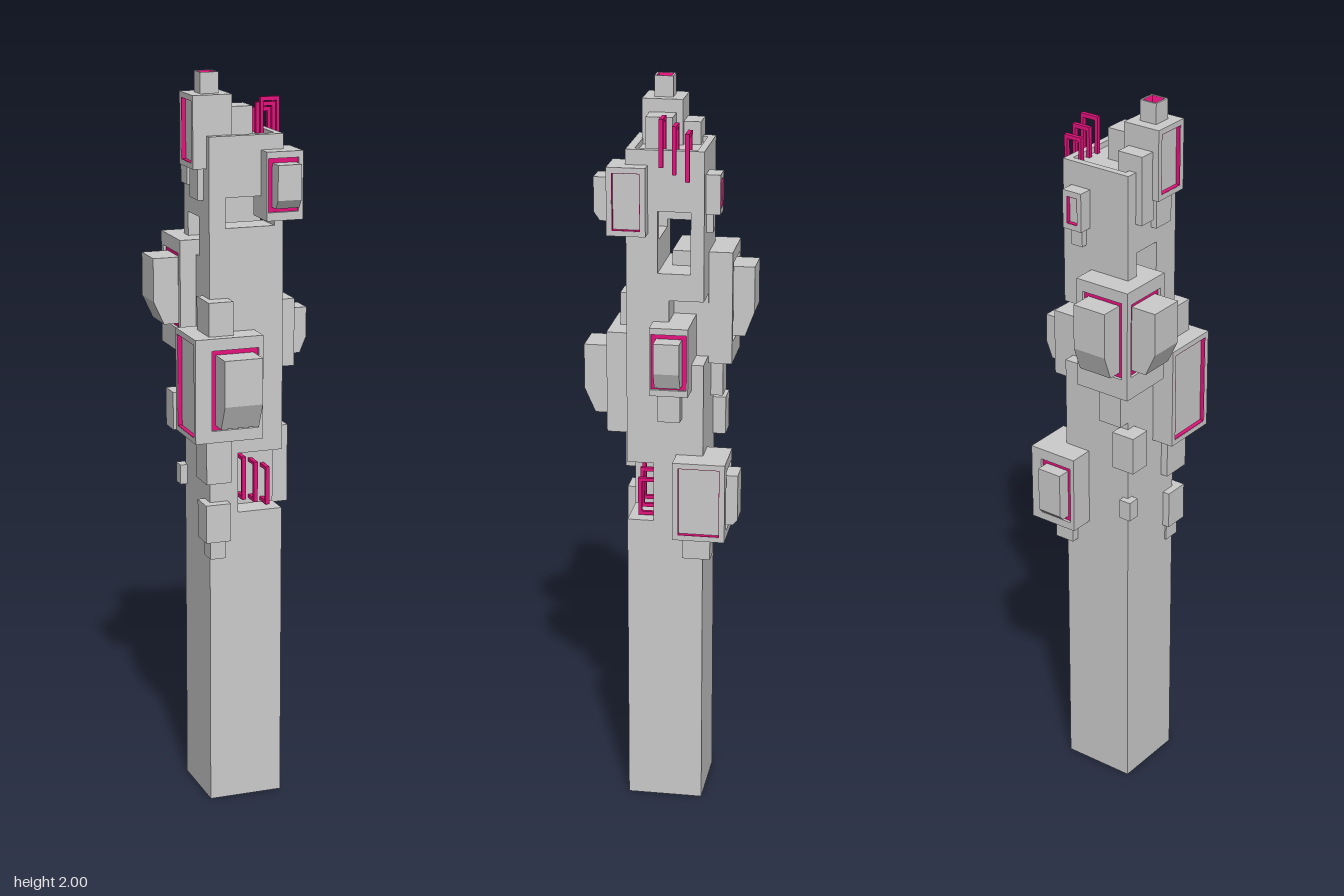
import * as THREE from 'three';

const grey = new THREE.MeshStandardMaterial({ color: 0xcccccc, flatShading: true });
const pink = new THREE.MeshStandardMaterial({ color: 0xe6127d, flatShading: true, side: THREE.DoubleSide });
const DEPTH = 0.012; // recess depth of every panel
const FACES = {
  front: { turn: 0, sign: 1, axis: 0 },
  back: { turn: Math.PI, sign: -1, axis: 0 },
  left: { turn: Math.PI / 2, sign: -1, axis: 4 },
  right: { turn: -Math.PI / 2, sign: 1, axis: 4 },
};

function mesh(parent, name, geometry, material = grey) {
  const m = new THREE.Mesh(geometry, material);
  m.name = name;
  parent.add(m);
  return m;
}

// axis-aligned box from its limits
function box(parent, name, [x0, x1, y0, y1, z0, z1], material) {
  const m = mesh(parent, name, new THREE.BoxGeometry(x1 - x0, y1 - y0, z1 - z0), material);
  m.position.set((x0 + x1) / 2, (y0 + y1) / 2, (z0 + z1) / 2);
  return m;
}

// rectangular ring, extruded along +z
function ring([a0, a1, b0, b1], [c0, c1, d0, d1], depth) {
  const path = (T, l, r, b, t) =>
    new T().moveTo(l, b).lineTo(r, b).lineTo(r, t).lineTo(l, t).lineTo(l, b);
  const shape = path(THREE.Shape, a0, a1, b0, b1);
  shape.holes.push(path(THREE.Path, c0, c1, d0, d1));
  return new THREE.ExtrudeGeometry(shape, { depth, bevelEnabled: false });
}

const grow = ([a, b, c, d], m) => [a - m, b + m, c - m, d + m];

// bay unit whose listed faces carry a recessed panel, optionally with a jutting box
function bay(parent, name, b, panels) {
  const group = new THREE.Group();
  group.name = name;
  parent.add(group);
  const core = [...b];
  const limit = { front: 5, back: 4, left: 1, right: 0 };
  for (const face in panels) {
    const { turn, sign, axis } = FACES[face];
    const { rect, out = 0, slope = 0.35 } = panels[face];
    const i = limit[face];
    core[i] += i % 2 ? -DEPTH : DEPTH;
    const local = (a0, a1, y0, y1) => (sign > 0 ? [a0, a1, y0, y1] : [-a1, -a0, y0, y1]);
    const outer = local(b[axis], b[axis + 1], b[2], b[3]);
    const inner = rect ? local(...rect) : grow(outer, -0.014);
    const hole = out ? grow(inner, 0.013) : inner;
    const panel = new THREE.Group();
    panel.name = face + 'Panel';
    panel.rotation.y = turn;
    panel.position.setComponent(axis ? 0 : 2, b[i]);
    group.add(panel);
    mesh(panel, 'rim', ring(outer, hole, DEPTH)).position.z = -DEPTH;
    const lining = ring(hole, out ? inner : grow(hole, -0.0015), out ? 0.004 : DEPTH - 0.0005);
    mesh(panel, 'colouredLining', lining, pink).position.z = -DEPTH;
    if (out) {
      // side profile with a sloped lower edge, extruded across the width
      const [u0, u1, v0, v1] = inner;
      const p = new THREE.Shape();
      p.moveTo(DEPTH, v0).lineTo(-out * 0.55, v0).lineTo(-out, v0 + (v1 - v0) * slope);
      p.lineTo(-out, v1).lineTo(DEPTH, v1);
      const jut = new THREE.ExtrudeGeometry(p, { depth: u1 - u0, bevelEnabled: false });
      const m = mesh(panel, 'juttingBox', jut);
      m.rotation.y = Math.PI / 2;
      m.position.x = u0;
    }
  }
  box(group, 'body', core);
  return group;
}

export function createModel() {
  const model = new THREE.Group();
  model.name = 'tower';
  const X0 = -0.1, X1 = 0.105, Z0 = -0.112, Z1 = 0.093;

  // square column, in layers that leave the notches and the through opening free
  const column = new THREE.Group();
  column.name = 'column';
  model.add(column);
  const layers = [
    [0, 0.825, [X0, X1, Z0, Z1]],
    [0.825, 0.99, [X0, X1, Z0, 0.022], [X0, -0.02, 0.022, Z1]],
    [0.99, 1.27, [X0, X1, Z0, Z1]],
    [1.27, 1.443, [X0, X1, -0.02, Z1], [X0, 0.02, Z0, -0.02]],
    [1.443, 1.515, [X0, X1, Z0, Z1]],
    [1.515, 1.6, [X0, X1, Z0, -0.077], [X0, X1, 0.01, Z1]],
    [1.6, 1.62, [X0, X1, Z0, -0.077], [X0, -0.055, 0.01, Z1], [0.08, X1, 0.01, Z1]],
    [1.62, 1.68, [X0, X1, Z0, -0.077], [X0, -0.055, -0.077, Z1], [0.08, X1, 0.01, Z1]],
    [1.68, 1.825, [X0, X1, Z0, Z1]],
  ];
  for (const [y0, y1, ...parts] of layers)
    for (const [x0, x1, z0, z1] of parts) box(column, 'columnLayer', [x0, x1, y0, y1, z0, z1]);
  const parapet = mesh(column, 'parapet', ring([X0, X1, -Z1, -Z0], [-0.079, 0.087, -0.071, 0.093], 0.015));
  parapet.rotation.x = -Math.PI / 2;
  parapet.position.y = 1.825;

  // bays
  bay(model, 'upperFrontBay', [0.043, 0.143, 1.62, 1.8, 0.035, 0.137], {
    front: { rect: [0.06, 0.125, 1.655, 1.77], out: 0.036, slope: 0.2 }, left: {},
  });
  bay(model, 'largeFrontBay', [-0.163, 0.025, 1.045, 1.325, 0, 0.162], {
    front: { rect: [-0.105, 0, 1.09, 1.28], out: 0.066 }, right: {},
  });
  bay(model, 'sideBay', [0.02, 0.166, 1.2, 1.385, -0.08, 0.022], {
    left: { rect: [-0.063, 0.005, 1.23, 1.355], out: 0.041 },
  });
  bay(model, 'lowerBackBay', [0.03, 0.172, 0.8, 1.018, -0.18, -0.04], {
    back: { rect: [0.055, 0.127, 0.835, 0.975], out: 0.029, slope: 0.1 }, left: {},
  });
  bay(model, 'largeBackBay', [-0.144, 0.017, 1.25, 1.555, -0.175, -0.015], {
    back: { rect: [-0.113, -0.015, 1.32, 1.51], out: 0.055 },
    right: { rect: [-0.145, -0.045, 1.325, 1.505], out: 0.065 },
  });
  bay(model, 'upperBackBay', [0.02, 0.078, 1.67, 1.775, -0.15, -0.1], {
    back: { rect: [0.032, 0.066, 1.685, 1.76] },
  });
  bay(model, 'roofBay', [-0.137, -0.03, 1.755, 1.945, -0.035, 0.073], { right: {} });

  // plain boxes stepped above and below the bays
  const steps = {
    frontBayTop: [-0.117, -0.049, 1.32, 1.415, 0.04, 0.137],
    frontBayFoot: [-0.12, -0.05, 0.92, 1.05, 0.04, 0.125],
    lowerFrontBox: [-0.12, -0.05, 0.755, 0.86, 0.05, 0.12],
    lowerFrontFoot: [-0.105, -0.062, 0.705, 0.76, 0.06, 0.11],
    sideBayFoot: [0.08, 0.14, 1.12, 1.205, -0.055, 0.005],
    lowerBackFoot: [0.07, 0.127, 0.73, 0.805, -0.135, -0.06],
    largeBackFoot: [-0.1, -0.03, 1.145, 1.255, -0.145, -0.06],
    backCornerBox: [-0.143, -0.075, 1.02, 1.125, -0.147, -0.085],
    backCornerFoot: [-0.12, -0.085, 0.86, 0.915, -0.13, -0.095],
    upperBackFoot: [0.032, 0.066, 1.62, 1.675, -0.13, -0.1],
    roofBayFoot: [-0.117, -0.06, 1.67, 1.76, -0.015, 0.05],
    roofSideBox: [-0.035, 0.033, 1.8, 1.91, -0.018, 0.053],
    roofBackBox: [-0.119, -0.045, 1.7, 1.885, -0.08, -0.03],
  };
  for (const name in steps) box(model, name, steps[name]);

  // chimney with a coloured funnel
  const chimney = new THREE.Group();
  chimney.name = 'chimney';
  chimney.position.set(-0.082, 0, 0.02);
  model.add(chimney);
  const h = 0.025, o = 0.02;
  box(chimney, 'base', [-h, h, 1.94, 1.97, -h, h]);
  const wall = mesh(chimney, 'wall', ring([-h, h, -h, h], [-o, o, -o, o], 0.03));
  wall.rotation.x = -Math.PI / 2;
  wall.position.y = 1.97;
  const funnel = new THREE.CylinderGeometry(o * Math.SQRT2, 0.01 * Math.SQRT2, 0.029, 4, 1, true);
  const f = mesh(chimney, 'funnel', funnel.rotateY(Math.PI / 4), pink);
  f.position.y = 1.9848;

  // bent rails: over the roof edge, and in the lower front notch
  const t = 0.0055;
  for (let i = 0; i < 3; i++) {
    const z = -0.003 - i * 0.034, top = 1.925 - i * 0.018;
    const roof = new THREE.Group();
    roof.name = 'roofRail';
    box(roof, 'innerLeg', [0.074, 0.083, 1.82, top, z - t, z + t], pink);
    box(roof, 'outerLeg', [0.119, 0.128, top - 0.125, top, z - t, z + t], pink);
    box(roof, 'topBar', [0.074, 0.128, top - 0.011, top, z - t, z + t], pink);
    const x = 0.006 + i * 0.034, y = 0.97 - i * 0.017, low = 0.85 - i * 0.01;
    const notch = new THREE.Group();
    notch.name = 'notchRail';
    box(notch, 'leg', [x - t, x + t, low, y, 0.058, 0.068], pink);
    box(notch, 'topBar', [x - t, x + t, y - 0.01, y, 0.022, 0.068], pink);
    box(notch, 'bottomBar', [x - t, x + t, low, low + 0.01, 0.022, 0.068], pink);
    model.add(roof, notch);
  }
  return model;
}
